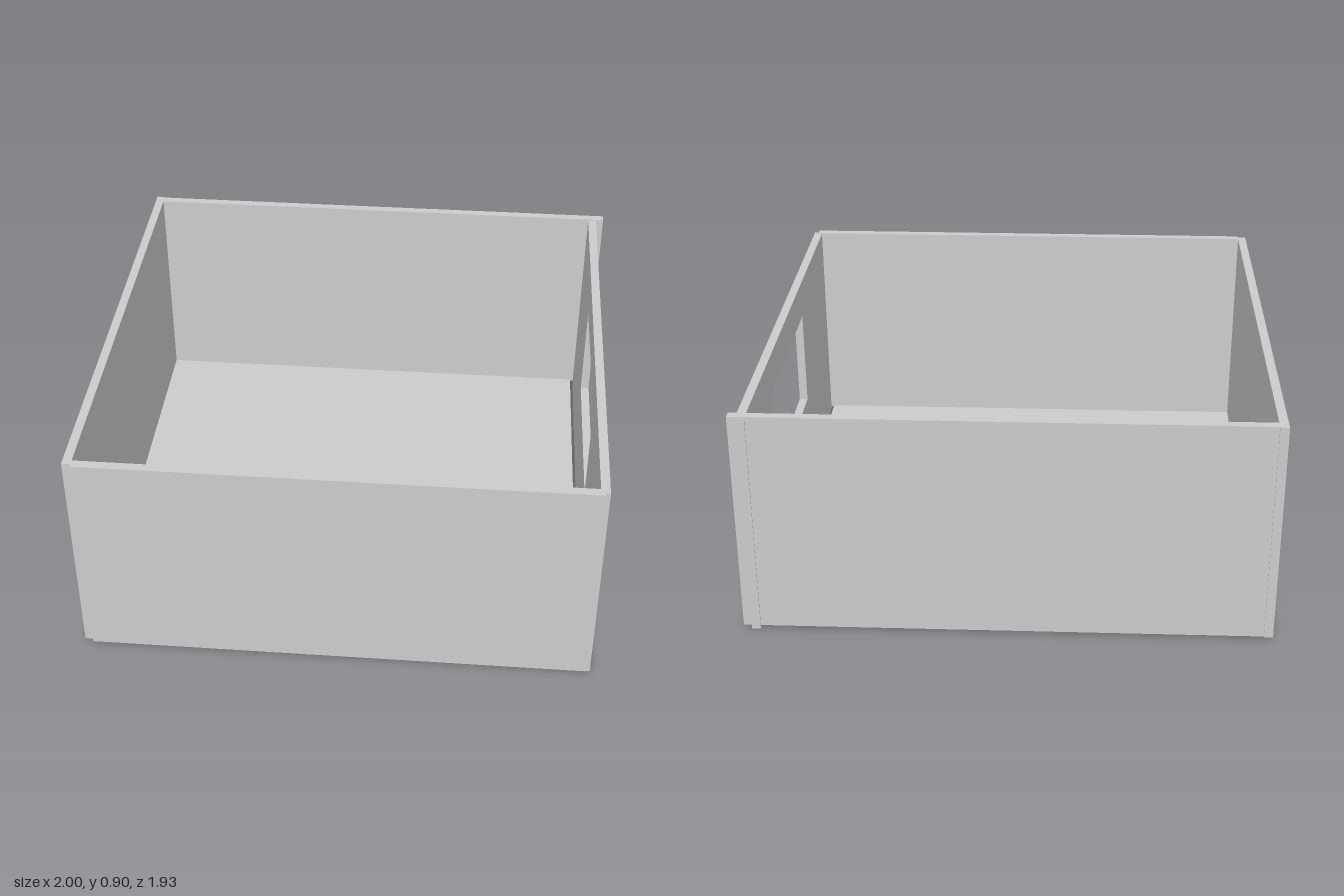
import * as THREE from 'three';

export function createModel() {
  const group = new THREE.Group();
  const material = new THREE.MeshStandardMaterial({ color: 0xcccccc, flatShading: true });

  const add = (name, geometry) => {
    const mesh = new THREE.Mesh(geometry, material);
    mesh.name = name;
    group.add(mesh);
  };
  // Box given by its extents on each axis
  const panel = (name, [x0, x1], [y0, y1], [z0, z1]) =>
    add(name, new THREE.BoxGeometry(x1 - x0, y1 - y0, z1 - z0)
      .translate((x0 + x1) / 2, (y0 + y1) / 2, (z0 + z1) / 2));

  // Plain walls, lapped at the corners, and the thin floor
  const height = [0.013, 0.895];
  panel('rightWall', [-1, -0.966], height, [-0.967, 0.953]);
  panel('frontWall', [-0.967, 0.951], height, [0.931, 0.967]);
  panel('backWall', [-0.966, 1], height, [-0.962, -0.928]);
  panel('floor', [-0.966, 0.922], [0.013, 0.018], [-0.928, 0.931]);

  // Wall with the rectangular window; shape x runs along -z after turning
  const rectangle = (path, z0, z1, y0, y1) => path
    .moveTo(-z1, y0).lineTo(-z0, y0).lineTo(-z0, y1).lineTo(-z1, y1).closePath();
  const outline = new THREE.Shape();
  rectangle(outline, -0.967, 0.951, 0, 0.892);
  const opening = new THREE.Path();
  rectangle(opening, -0.41, 0.306, 0.353, 0.747);
  outline.holes.push(opening);
  add('leftWallWithWindow',
    new THREE.ExtrudeGeometry(outline, { depth: 0.034, bevelEnabled: false })
      .rotateY(Math.PI / 2).translate(0.935, 0, 0));

  return group;
}
